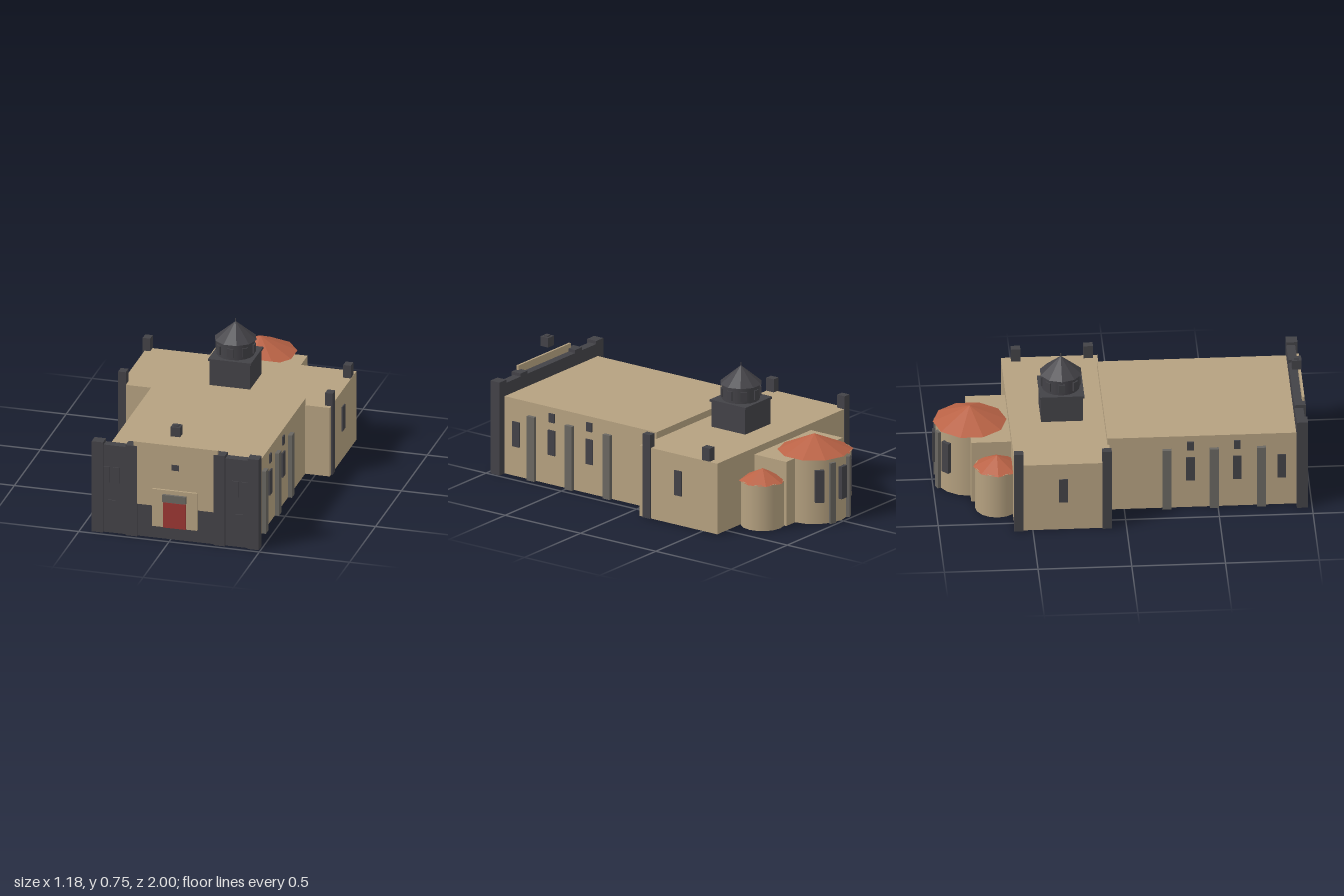
import * as THREE from 'three';

const mat = (name, color, extra = {}) => Object.assign(new THREE.MeshStandardMaterial({ color, ...extra }), { name });

export function createModel() {
  const sand = mat('sandstone', 0xb5a180);
  const dark = mat('darkStone', 0x434247);
  const grey = mat('greyStone', 0x6a6761);
  const tile = mat('terracotta', 0xba6346, { flatShading: true });
  const slate = mat('darkRoof', 0x434247, { flatShading: true });
  const red = mat('redDoor', 0x9a3633);
  const root = new THREE.Group();
  root.name = 'church';

  const add = (name, geo, m, x, y, z, ry = 0) => {
    const mesh = new THREE.Mesh(geo, m);
    mesh.name = name;
    mesh.position.set(x, y, z);
    mesh.rotation.y = ry;
    root.add(mesh);
    return mesh;
  };
  // box from its min and max on each axis
  const box = (name, m, x0, x1, y0, y1, z0, z1) =>
    add(name, new THREE.BoxGeometry(x1 - x0, y1 - y0, z1 - z0), m, (x0 + x1) / 2, (y0 + y1) / 2, (z0 + z1) / 2);
  const drum = (name, m, r, y0, y1, x, z, n = 16) =>
    add(name, new THREE.CylinderGeometry(r, r, y1 - y0, n), m, x, (y0 + y1) / 2, z);
  const cone = (name, m, r, y0, y1, x, z, n, ry = 0) =>
    add(name, new THREE.ConeGeometry(r, y1 - y0, n), m, x, (y0 + y1) / 2, z, ry);

  // main volumes
  box('nave', sand, -0.386, 0.444, 0, 0.434, -0.09, 0.925);
  box('transept', sand, -0.58, 0.58, 0, 0.397, -0.595, -0.08);
  box('choir', sand, -0.254, 0.249, 0, 0.36, -0.807, -0.59);

  // nave buttresses and windows on both sides
  for (const [wall, s] of [[0.444, 1], [-0.386, -1]]) {
    const side = (name, m, out, y0, y1, z0, z1) => {
      const a = wall - s * 0.01, b = wall + s * out;
      box(name, m, Math.min(a, b), Math.max(a, b), y0, y1, z0, z1);
    };
    for (const z of [0.228, 0.48, 0.732]) side('naveButtress', grey, 0.022, 0, 0.36, z - 0.024, z + 0.024);
    for (const z of [0.353, 0.603, 0.84]) {
      side('naveWindow', dark, 0.008, 0.166, 0.306, z - 0.023, z + 0.023);
      if (z < 0.8) side('upperNaveWindow', dark, 0.008, 0.35, 0.4, z - 0.018, z + 0.018);
    }
  }

  // transept windows and corner piers
  for (const s of [-1, 1]) {
    const x = s * 0.582;
    box('transeptWindow', dark, x - 0.004, x + 0.004, 0.166, 0.306, -0.36, -0.312);
  }
  for (const [x, z] of [[-0.57, -0.575], [-0.57, -0.104], [0.568, -0.13], [0.557, -0.518]])
    box('cornerPier', dark, x - 0.021, x + 0.021, 0, 0.47, z - 0.025, z + 0.025);

  // facade wall with piers, mirrored about its own centre
  const fc = 0.0275;
  box('facadeWall', dark, -0.435, 0.49, 0, 0.505, 0.918, 0.965);
  for (const s of [-1, 1]) {
    const front = (name, d, w, y0, y1, z0, z1) =>
      box(name, dark, fc + s * d - w / 2, fc + s * d + w / 2, y0, y1, z0, z1);
    front('outerPier', 0.431, 0.063, 0, 0.522, 0.918, 0.978);
    front('innerPier', 0.243, 0.063, 0, 0.522, 0.918, 0.978);
    front('towerWindow', 0.382, 0.035, 0.29, 0.38, 0.964, 0.971);
    front('towerWindow', 0.33, 0.035, 0.29, 0.38, 0.964, 0.971);
    front('lowerTowerWindow', 0.353, 0.04, 0.13, 0.19, 0.964, 0.971);
  }
  box('facadePanel', sand, -0.205, 0.262, 0.188, 0.547, 0.962, 0.974);
  box('portal', sand, -0.098, 0.151, 0.075, 0.29, 0.96, 0.986);
  box('door', red, -0.035, 0.09, 0.075, 0.22, 0.984, 0.991);
  box('lintel', grey, -0.038, 0.092, 0.225, 0.267, 0.98, 1.0);
  box('facadeWindow', dark, 0.007, 0.048, 0.405, 0.437, 0.97, 0.979);
  box('bellBlock', dark, 0, 0.053, 0.6, 0.653, 0.92, 0.972);
  box('bellBlockCap', dark, 0.013, 0.04, 0.653, 0.66, 0.933, 0.959);

  // crossing tower
  const cx = -0.008, cz = -0.314;
  box('towerBase', dark, cx - 0.112, cx + 0.112, 0.39, 0.54, cz - 0.112, cz + 0.112);
  box('towerSlab', dark, cx - 0.119, cx + 0.119, 0.538, 0.55, cz - 0.119, cz + 0.119);
  drum('lantern', dark, 0.102, 0.548, 0.64, cx, cz);
  for (let i = 0; i < 8; i++) {
    const a = (i * Math.PI) / 4;
    add('lanternWindow', new THREE.BoxGeometry(0.034, 0.05, 0.009), dark,
      cx + Math.sin(a) * 0.103, 0.59, cz + Math.cos(a) * 0.103, a);
  }
  cone('lanternRoof', slate, 0.115, 0.638, 0.735, cx, cz, 10, Math.PI / 10);
  drum('finial', dark, 0.003, 0.725, 0.752, cx, cz, 6);

  // main apse with windows and buttresses
  const ax = -0.01, az = -0.8;
  drum('apse', sand, 0.182, 0, 0.362, ax, az);
  cone('apseRoof', tile, 0.197, 0.36, 0.45, ax, az, 10);
  for (let i = -2; i <= 2; i++) {
    const a = Math.PI + (i * Math.PI) / 8, win = i % 2 === 0;
    const r = win ? 0.187 : 0.18;
    add(win ? 'apseWindow' : 'apseButtress', new THREE.BoxGeometry(win ? 0.048 : 0.034, win ? 0.18 : 0.34, win ? 0.026 : 0.034),
      win ? dark : grey, ax + Math.sin(a) * r, win ? 0.215 : 0.17, az + Math.cos(a) * r, a);
  }

  // side apses
  for (const [x, z] of [[-0.317, -0.675], [0.3, -0.687]]) {
    drum('sideApse', sand, 0.117, 0, 0.255, x, z);
    cone('sideApseRoof', tile, 0.127, 0.252, 0.315, x, z, 8);
  }
  return root;
}
